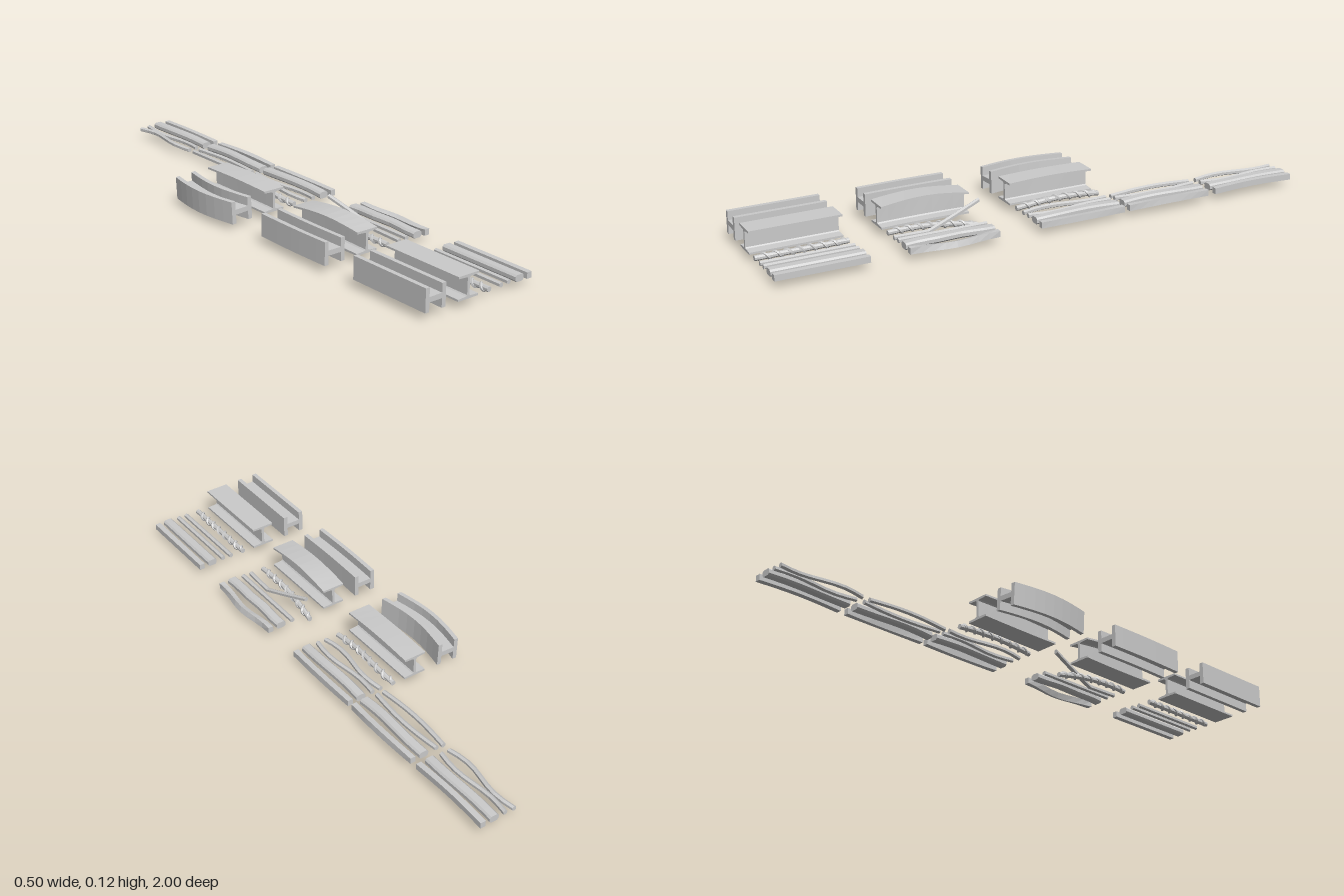
import * as THREE from 'three';

const LENGTH = 0.33, STEPS = 8;
const material = new THREE.MeshStandardMaterial({ color: 0xcccccc, flatShading: true });

// Bend rules along a piece: t = 0 at the back, 1 at the front
const bow = t => Math.sin(Math.PI * t);
const wave = t => Math.sin(2 * Math.PI * t);
const kick = t => Math.max(0, 1 - t / 0.625);
const straight = () => ({});

// Moves and rolls every cross-section; swell lifts the top edge only
function bendGeometry(geometry, bend) {
  const p = geometry.attributes.position;
  for (let i = 0; i < p.count; i++) {
    const { x = 0, y = 0, roll = 0, swell = 0 } = bend(p.getZ(i) / LENGTH);
    const px = p.getX(i), py = p.getY(i), c = Math.cos(roll), s = Math.sin(roll);
    const lift = THREE.MathUtils.clamp(0.5 + py / 0.08, 0, 1) * swell;
    p.setXY(i, px * c - py * s + x, px * s + py * c + y + lift);
  }
  const flat = geometry.index ? geometry.toNonIndexed() : geometry;
  flat.computeVertexNormals();
  return flat;
}

function profileMesh(name, outline, bend) {
  const shape = new THREE.Shape(outline.map(([x, y]) => new THREE.Vector2(x, y)));
  const geometry = new THREE.ExtrudeGeometry(shape, { depth: LENGTH, steps: STEPS, bevelEnabled: false });
  const mesh = new THREE.Mesh(bendGeometry(geometry, bend), material);
  mesh.name = name;
  return mesh;
}

// Outlines, centred on their own axis: one quarter is mirrored both ways
const mirror4 = q => [
  ...q,
  ...q.map(([x, y]) => [-x, y]).reverse(),
  ...q.map(([x, y]) => [-x, -y]),
  ...q.map(([x, y]) => [x, -y]).reverse(),
];
const polygon = (n, r) => Array.from({ length: n }, (_, i) => {
  const a = (i + 0.5) * 2 * Math.PI / n;
  return [r * Math.cos(a), r * Math.sin(a)];
});
const iOutline = mirror4([[0.005, 0.028], [0.009, 0.032], [0.043, 0.034], [0.043, 0.041]]);
const hOutline = mirror4([[0.042, 0.041], [0.026, 0.041], [0.026, 0.009]]);
const flatOutline = mirror4([[0.018, 0.006], [0.012, 0.012]]);
const squareOutline = mirror4([[0.01, 0.011]]);
const rodOutline = polygon(6, 0.009);

// Rod with a raised spiral rib whose ends sink into the core
function threadedRod(bend) {
  const group = new THREE.Group();
  group.add(profileMesh('rodCore', polygon(8, 0.0095), bend));
  const points = [], turns = 8, n = 96;
  for (let i = 0; i <= n; i++) {
    const t = i / n, a = t * turns * 2 * Math.PI;
    const r = 0.0095 * Math.min(1, t * 24, (1 - t) * 24);
    points.push(new THREE.Vector3(r * Math.cos(a), r * Math.sin(a), 0.006 + t * (LENGTH - 0.012)));
  }
  const tube = new THREE.TubeGeometry(new THREE.CatmullRomCurve3(points), 128, 0.0055, 5);
  const rib = new THREE.Mesh(bendGeometry(tube, bend), material);
  rib.name = 'spiralRib';
  group.add(rib);
  return group;
}

// Each kind of piece on its own axis
const kinds = {
  hBeam: { x: -0.184, y: 0.077, make: bend => profileMesh('hBeam', hOutline, bend) },
  iBeam: { x: -0.046, y: 0.077, make: bend => profileMesh('iBeam', iOutline, bend) },
  threadedRod: { x: 0.045, y: 0.042, make: threadedRod },
  innerRod: { x: 0.098, y: 0.043, make: bend => profileMesh('innerRod', rodOutline, bend) },
  outerRod: { x: 0.132, y: 0.045, make: bend => profileMesh('outerRod', rodOutline, bend) },
  flatBar: { x: 0.18, y: 0.045, make: bend => profileMesh('flatBar', flatOutline, bend) },
  squareBar: { x: 0.224, y: 0.043, make: bend => profileMesh('squareBar', squareOutline, bend) },
};
const allKinds = Object.keys(kinds);
const smallKinds = allKinds.slice(3);

// Bends of each row; pieces not listed stay straight
const bentRow = {
  hBeam: t => ({ x: -0.003 * bow(t) }),
  iBeam: t => ({ swell: 0.014 * bow(t) - 0.004 * (1 - t), roll: 0.03 * bow(t) }),
  threadedRod: t => ({ x: 0.012 * (1 - t) - 0.008 * bow(t), y: 0.004 * bow(t) - 0.026 * (1 - t) ** 2 }),
  innerRod: t => ({ x: 0.005 * bow(t) - 0.027 * kick(t), y: 0.068 * kick(t) }),
  flatBar: t => ({ x: 0.002 * wave(2 * t), y: 0.004 * bow(t) }),
  squareBar: t => ({ x: 0.014 * bow(t) ** 3, y: -0.004 * bow(t), roll: 0.35 * bow(t) }),
};
const bowedRow = {
  hBeam: t => ({ x: -0.003 - 0.021 * bow(t), y: -0.004, roll: 0.06 }),
  iBeam: t => ({ swell: 0.004 * bow(t), roll: 0.015 * bow(t) }),
  threadedRod: t => ({ x: 0.005 * wave(t), y: 0.016 * bow(t) * (1.2 - t) }),
  innerRod: t => ({ x: 0.01 * wave(t), y: 0.005 * bow(t) }),
  outerRod: t => ({ x: -0.008 * wave(t), y: -0.003 * bow(t) }),
  flatBar: t => ({ x: -0.002 * wave(t), y: 0.005 * bow(t) }),
  squareBar: t => ({ x: 0.003 * bow(t), roll: 0.1 * bow(t) }),
};
const wavyRow = {
  innerRod: t => ({ x: 0.002 - 0.008 * bow(t), y: 0.005 * bow(t) }),
  outerRod: t => ({ x: 0.012 * bow(t) - 0.004 }),
  flatBar: t => ({ x: 0.003 * wave(t), y: 0.005 * bow(t) }),
  squareBar: t => ({ x: 0.006 * bow(t), y: 0.003 * bow(t), roll: 0.15 * bow(t) }),
};
const crossedRow = {
  innerRod: t => ({ x: 0.002 + 0.011 * wave(t), y: 0.004 * bow(t) }),
  outerRod: t => ({ x: 0.004 * (1 - t) - 0.008 * wave(t), y: -0.003 * bow(t) }),
  flatBar: t => ({ x: -0.002 * wave(t), y: 0.003 * bow(t) }),
  squareBar: t => ({ x: -0.003 * bow(t), y: 0.004 * bow(t) }),
};

// Pieces of one row, with its back end at z
function addRow(model, name, z, names, bends) {
  const row = new THREE.Group();
  row.name = name;
  for (const kind of names) {
    const { x, y, make } = kinds[kind];
    const piece = make(bends[kind] ?? straight);
    piece.name = kind;
    piece.position.set(x, y, z);
    row.add(piece);
  }
  model.add(row);
}

export function createModel() {
  const model = new THREE.Group();
  model.name = 'metalBeamSet';
  addRow(model, 'straightRow', 0.67, allKinds, {});
  addRow(model, 'bentRow', 0.2, allKinds, bentRow);
  addRow(model, 'bowedRow', -0.29, allKinds, bowedRow);
  addRow(model, 'wavyRow', -0.64, smallKinds, wavyRow);
  addRow(model, 'crossedRow', -1, smallKinds, crossedRow);
  return model;
}
